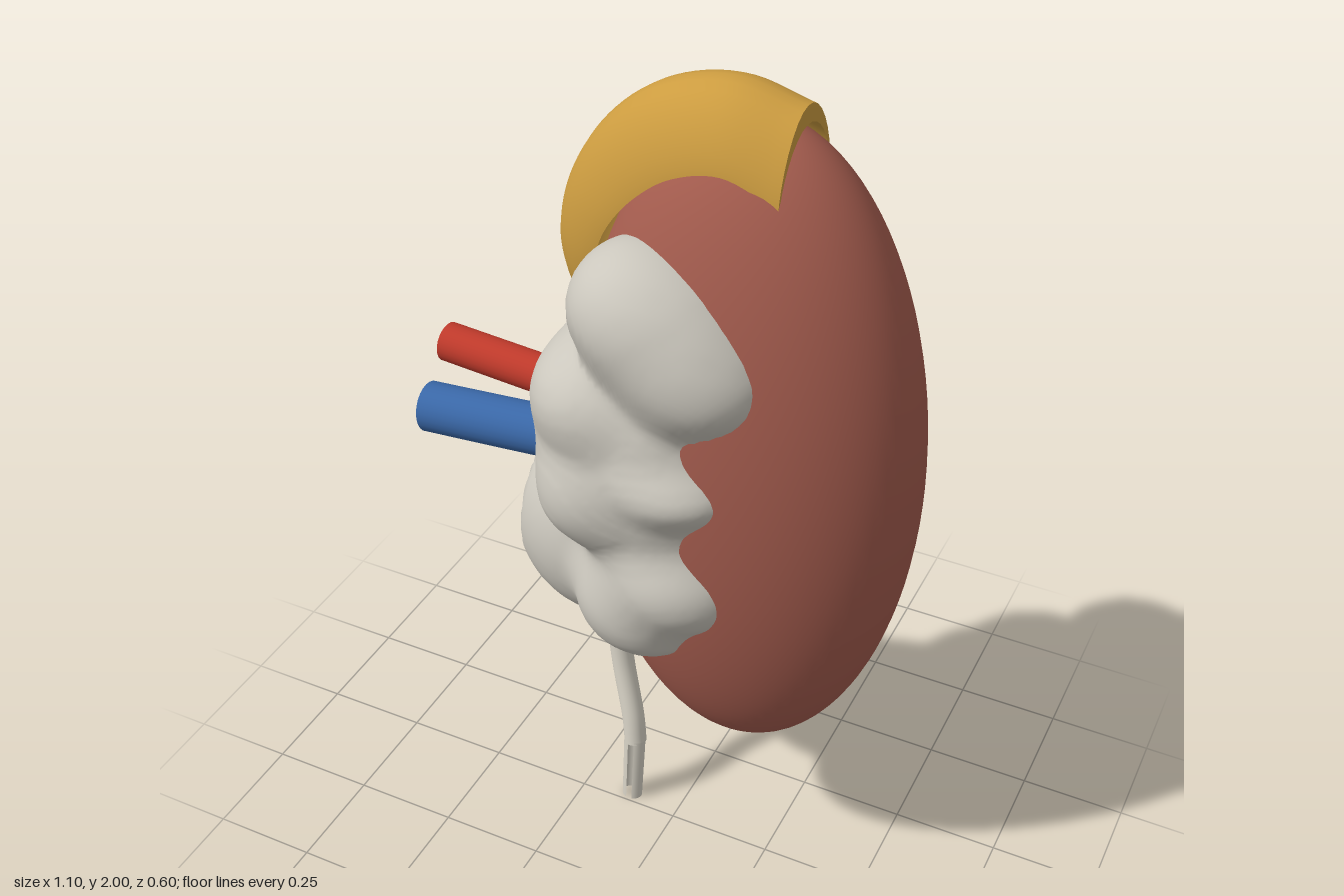
import * as THREE from 'three';
import { mergeVertices } from 'three/addons/utils/BufferGeometryUtils.js';

const V = (x, y, z) => new THREE.Vector3(x, y, z);
const material = (name, color, side = THREE.FrontSide) => {
  const m = new THREE.MeshStandardMaterial({ color, side });
  m.name = name;
  return m;
};

// Ellipsoids [x, y, z, rx, ry, rz] forming the lumpy pelvis
const core = [
  [-0.09, 1.24, 0, 0.2, 0.21, 0.25],
  [-0.16, 0.87, -0.05, 0.235, 0.24, 0.215],
  [0.02, 1.19, 0, 0.265, 0.4, 0.28],
];
const paired = [
  [0.0, 1.56, 0.14, 0.145, 0.14, 0.15],
  [0.07, 1.52, 0.14, 0.16, 0.15, 0.155],
  [0.135, 1.46, 0.14, 0.155, 0.135, 0.155],
  [-0.1, 1.33, 0.12, 0.14, 0.12, 0.155],
  [0.1, 1.2, 0.18, 0.125, 0.07, 0.115],
  [-0.09, 1.12, 0.14, 0.14, 0.14, 0.15],
  [0.085, 0.94, 0.13, 0.165, 0.14, 0.16],
  [0.0, 0.84, 0.11, 0.165, 0.155, 0.16],
];
const lobes = [...core];
for (const [x, y, z, ...r] of paired) lobes.push([x, y, z, ...r], [x, y, -z, ...r]);

// Smooth union of the lobes
function distance(p) {
  const k = 0.045;
  let d = 10;
  for (const [x, y, z, a, b, c] of lobes) {
    const e = (Math.hypot((p.x - x) / a, (p.y - y) / b, (p.z - z) / c) - 1) * Math.min(a, b, c);
    const h = Math.max(k - Math.abs(d - e), 0) / k;
    d = Math.min(d, e) - h * h * k * 0.25;
  }
  return d;
}

// Round opening in the flat cut of the pelvis
const CUT = -0.33;
const hole = { y: 0.8, z: -0.03, r: 0.072 };

// Shrinks a fine sphere inward onto the lobes, cuts one side flat and opens it
function pelvisGeometry() {
  let g = new THREE.IcosahedronGeometry(1, 38);
  g.deleteAttribute('uv');
  g.deleteAttribute('normal');
  g = mergeVertices(g, 1e-5);
  const pos = g.attributes.position;
  const center = V(-0.03, 1.13, 0), dir = V(), p = V();
  const inside = [];
  for (let i = 0; i < pos.count; i++) {
    dir.fromBufferAttribute(pos, i).normalize();
    let t = 0.9;
    for (let n = 0; n < 250 && t > 0.02; n++) {
      const d = distance(p.copy(dir).multiplyScalar(t).add(center));
      if (d < 0.0005) break;
      t -= Math.max(d * 0.7, 0.0008);
    }
    if (p.x <= CUT) {
      p.x = CUT;
      const dy = p.y - hole.y, dz = p.z - hole.z, r = Math.hypot(dy, dz);
      inside[i] = r < hole.r + 0.008;
      // vertices near the rim snap onto it
      if (Math.abs(r - hole.r) < 0.008) {
        p.y = hole.y + dy * hole.r / r;
        p.z = hole.z + dz * hole.r / r;
      }
    }
    pos.setXYZ(i, p.x, p.y, p.z);
  }
  const kept = [], index = g.index.array;
  for (let i = 0; i < index.length; i += 3) {
    const tri = [index[i], index[i + 1], index[i + 2]];
    if (!tri.every((v) => inside[v])) kept.push(...tri);
  }
  g.setIndex(kept);
  g.computeVertexNormals();
  return g;
}

// Arched crescent shell lofted between an inner and an outer curve
function capGeometry() {
  const curve = (pts) => new THREE.CatmullRomCurve3(pts.map(([x, y, w = 0]) => V(x, y, w)));
  const inner = curve([[0.265, 1.815], [0.15, 1.855], [0.05, 1.83], [-0.03, 1.77],
    [-0.1, 1.68], [-0.14, 1.58], [-0.165, 1.5], [-0.175, 1.44]]);
  // third value is the half width
  const outer = curve([[0.265, 1.97, 0.123], [0.12, 2.0, 0.123], [-0.03, 1.96, 0.123], [-0.15, 1.86, 0.12],
    [-0.225, 1.73, 0.112], [-0.25, 1.6, 0.095], [-0.225, 1.49, 0.065], [-0.18, 1.435, 0.015]]);
  const rows = 48, half = 16, cols = half * 2 + 2, pos = [], idx = [];
  for (let i = 0; i <= rows; i++) {
    const a = inner.getPoint(i / rows), b = outer.getPoint(i / rows);
    for (let j = 0; j < cols; j++) {
      const top = j <= half;
      const ang = (top ? j : cols - 1 - j) / half * Math.PI;
      const lift = Math.max(Math.sin(ang), 0) ** 1.4 * (top ? 1 : 0.75);
      pos.push(a.x + (b.x - a.x) * lift, a.y + (b.y - a.y) * lift,
        -0.012 + b.z * Math.cos(ang) * (top ? 1 : 0.95));
    }
  }
  for (let i = 0; i < rows; i++) {
    for (let j = 0; j < cols; j++) {
      if (j === half || j === cols - 1) continue; // keep the rims sharp
      const a = i * cols + j, b = a + 1;
      idx.push(a, b, a + cols, b, b + cols, a + cols);
    }
  }
  // cut end, on its own vertices
  const base = pos.length / 3;
  pos.push(...pos.slice(0, cols * 3));
  for (let j = 0; j < half; j++) {
    const a = base + j, b = base + cols - 1 - j;
    idx.push(a, b, a + 1, b, b - 1, a + 1);
  }
  const g = new THREE.BufferGeometry();
  g.setAttribute('position', new THREE.Float32BufferAttribute(pos, 3));
  g.setIndex(idx);
  g.computeVertexNormals();
  // the outer arch must face outward
  if (g.attributes.normal.getY((rows / 2) * cols + half / 2) < 0) {
    g.setIndex(idx.reverse());
    g.computeVertexNormals();
  }
  return g;
}

const tube = (points, radius) =>
  new THREE.TubeGeometry(new THREE.CatmullRomCurve3(points), 32, radius, 24);

export function createModel() {
  const group = new THREE.Group();
  const brown = material('kidney brown', 0xa45c4e);
  const gold = material('gland gold', 0xcc9c40, THREE.DoubleSide);
  const grey = material('pelvis grey', 0xcbc7bd, THREE.DoubleSide);
  const cream = material('ureter cream', 0xd9d4c7, THREE.DoubleSide);
  const red = material('artery red', 0xc03a2b, THREE.DoubleSide);
  const blue = material('vein blue', 0x3a68a8, THREE.DoubleSide);
  const add = (name, geometry, mat) => {
    const mesh = new THREE.Mesh(geometry, mat);
    mesh.name = name;
    group.add(mesh);
    return mesh;
  };

  // Smooth main body
  const body = add('kidneyBody', new THREE.SphereGeometry(1, 72, 48), brown);
  body.scale.set(0.377, 0.765, 0.256);
  body.position.set(0.17, 1.17, -0.01);

  add('renalPelvis', pelvisGeometry(), grey);
  add('adrenalGland', capGeometry(), gold);

  // Hollow behind the round opening
  const bowl = add('pelvisOpening',
    new THREE.SphereGeometry(hole.r + 0.002, 32, 12, 0, Math.PI * 2, 0, Math.PI / 2), cream);
  bowl.rotation.z = -Math.PI / 2;
  bowl.position.set(CUT + 0.001, hole.y, hole.z);

  // Open-ended vessels
  add('artery', tube([V(-0.55, 1.242, -0.006), V(-0.35, 1.237, 0.007), V(-0.15, 1.23, 0.017)], 0.044), red);
  add('vein', tube([V(-0.54, 1.14, 0.102), V(-0.35, 1.153, 0.099), V(-0.15, 1.165, 0.092)], 0.056), blue);

  // Ureter, with a slit along the front of its lower end
  add('ureter', tube([V(-0.18, 0.72, -0.06), V(-0.178, 0.6, -0.06), V(-0.16, 0.42, -0.055),
    V(-0.125, 0.26, -0.036), V(-0.117, 0.19, -0.03)], 0.027), cream);
  const end = new THREE.CylinderGeometry(0.027, 0.025, 0.2, 24, 1, true, 0.3, Math.PI * 2 - 0.6);
  const lower = add('ureterEnd', end, cream);
  lower.scale.z = 0.85;
  lower.rotation.z = -0.05;
  lower.position.set(-0.122, 0.1013, -0.027);
  return group;
}
